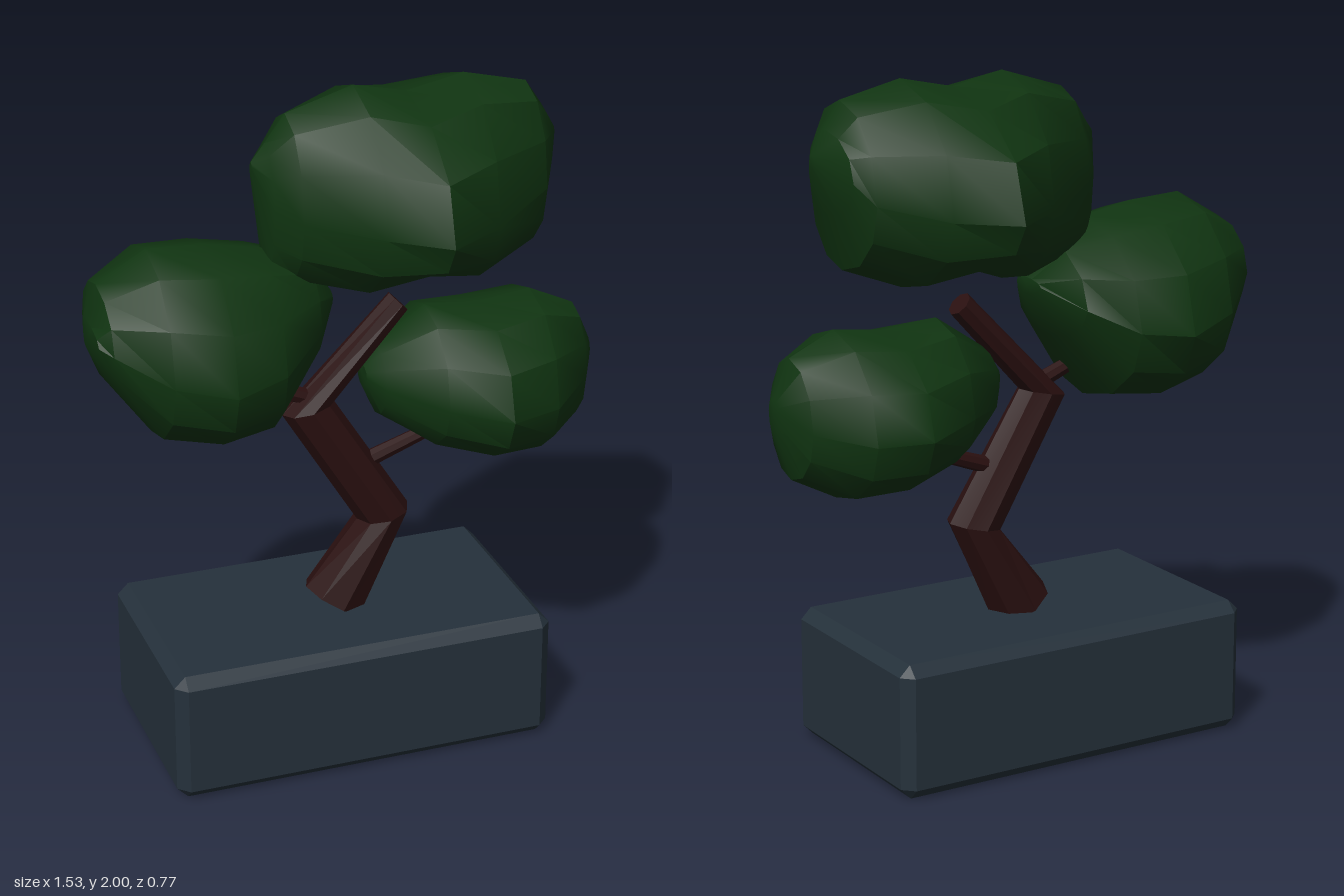
import * as THREE from 'three';
import { toCreasedNormals } from 'three/addons/utils/BufferGeometryUtils.js';
import { ConvexGeometry } from 'three/addons/geometries/ConvexGeometry.js';

// Skin a list of rings (equal point counts) and close both ends.
function loft(rings, crease) {
  const n = rings[0].length, points = rings.flat(), index = [];
  const last = rings.length - 1;
  for (let i = 0; i < last; i++) {
    for (let j = 0; j < n; j++) {
      const k = (j + 1) % n;
      const a = i * n + j, b = i * n + k, c = b + n, d = a + n;
      index.push(a, d, b, b, d, c);
    }
  }
  for (const i of [0, last]) {
    const centre = new THREE.Vector3();
    rings[i].forEach((p) => centre.addScaledVector(p, 1 / n));
    const m = points.push(centre) - 1;
    for (let j = 0; j < n; j++) {
      const a = i * n + j, b = i * n + (j + 1) % n;
      if (i === 0) index.push(m, a, b);
      else index.push(m, b, a);
    }
  }
  const geometry = new THREE.BufferGeometry().setFromPoints(points);
  geometry.setIndex(index);
  return toCreasedNormals(geometry, crease);
}

// Foliage cushion from sections along x: [x, bottom, top, widest height, front depth, back depth]
function cushion(sections, sides = 12) {
  const rings = sections.map(([x, bottom, top, mid, front, back]) =>
    Array.from({ length: sides }, (_, j) => {
      const a = (j / sides) * Math.PI * 2, s = Math.sin(a), c = Math.cos(a);
      return new THREE.Vector3(
        x,
        mid + s * (s > 0 ? top - mid : mid - bottom),
        c * (c > 0 ? front : back)
      );
    }));
  return loft(rings, 0.6);
}

// Trunk from mitred rings: [x, y, half-width x, half-width y, depth radius]
function mitredTrunk(joints, sides = 8) {
  const rings = joints.map(([x, y, hx, hy, rz]) =>
    Array.from({ length: sides }, (_, j) => {
      const a = (j / sides) * Math.PI * 2, s = Math.sin(a);
      return new THREE.Vector3(x + hx * s, y + hy * s, 0.012 + rz * Math.cos(a));
    }));
  return loft(rings, 0.1);
}

// Box with every edge chamfered
function chamferedBox(w, h, d, c) {
  const points = [];
  for (const sx of [-1, 1]) for (const sy of [-1, 1]) for (const sz of [-1, 1]) {
    for (let flush = 0; flush < 3; flush++) {
      const half = [w, h, d].map((size, axis) => size / 2 - (axis === flush ? 0 : c));
      points.push(new THREE.Vector3(sx * half[0], sy * half[1], sz * half[2]));
    }
  }
  return new ConvexGeometry(points);
}

export function createModel() {
  const tree = new THREE.Group();
  tree.name = 'pottedTree';

  const material = (name, color) => {
    const m = new THREE.MeshStandardMaterial({ color });
    m.name = name;
    return m;
  };
  const slate = material('slate', 0x25313b);
  const bark = material('bark', 0x2a1010);
  const leaf = material('leafGreen', 0x103411);

  const add = (name, geometry, mat) => {
    const mesh = new THREE.Mesh(geometry, mat);
    mesh.name = name;
    tree.add(mesh);
    return mesh;
  };

  // Planter
  add('planter', chamferedBox(1.16, 0.4, 0.66, 0.033), slate).position.set(-0.05, 0.2, 0.01);

  // Zigzag trunk
  add('trunk', mitredTrunk([
    [-0.045, 0.405, -0.085, 0.05, 0.096],
    [0.11, 0.67, -0.08, -0.015, 0.08],
    [-0.123, 1.045, -0.077, -0.015, 0.06],
    [0.155, 1.337, -0.027, 0.028, 0.038],
  ]), bark);

  // Side branches reaching into the foliage
  const branch = (name, from, to) => {
    const a = new THREE.Vector3(...from), b = new THREE.Vector3(...to);
    const dir = b.clone().sub(a);
    const geometry = new THREE.CylinderGeometry(0.019, 0.027, dir.length(), 8);
    const mesh = add(name, toCreasedNormals(geometry, 0.1), bark);
    mesh.position.copy(a).add(b).multiplyScalar(0.5);
    mesh.quaternion.setFromUnitVectors(new THREE.Vector3(0, 1, 0), dir.normalize());
  };
  branch('rightBranch', [-0.08, 1.06, 0.012], [-0.36, 1.17, 0.012]);
  branch('leftBranch', [0.02, 0.83, 0.012], [0.32, 0.935, 0.012]);

  // Foliage cushions
  add('topFoliage', cushion([
    [-0.28, 1.76, 1.81, 1.79, 0.01, 0.01],
    [-0.24, 1.47, 1.86, 1.69, 0.09, 0.08],
    [-0.18, 1.445, 1.94, 1.67, 0.165, 0.15],
    [0.02, 1.4, 2.0, 1.64, 0.285, 0.285],
    [0.18, 1.455, 1.965, 1.63, 0.385, 0.39],
    [0.35, 1.41, 2.0, 1.64, 0.295, 0.295],
    [0.54, 1.48, 1.955, 1.69, 0.175, 0.21],
    [0.59, 1.64, 1.88, 1.75, 0.09, 0.17],
    [0.63, 1.77, 1.81, 1.79, 0.01, 0.02],
  ]), leaf);
  add('rightFoliage', cushion([
    [-0.77, 1.33, 1.42, 1.38, 0.15, 0.02],
    [-0.735, 1.24, 1.51, 1.36, 0.18, 0.16],
    [-0.59, 1.04, 1.595, 1.28, 0.27, 0.29],
    [-0.42, 1.005, 1.585, 1.24, 0.305, 0.345],
    [-0.26, 1.02, 1.555, 1.26, 0.25, 0.31],
    [-0.12, 1.22, 1.505, 1.33, 0.14, 0.24],
    [-0.05, 1.35, 1.4, 1.38, 0.03, 0.1],
  ]), leaf);
  add('leftFoliage', cushion([
    [0.05, 1.08, 1.15, 1.12, 0.04, 0.04],
    [0.09, 0.99, 1.21, 1.1, 0.1, 0.1],
    [0.24, 0.885, 1.31, 1.06, 0.22, 0.22],
    [0.41, 0.835, 1.295, 1.03, 0.295, 0.287],
    [0.57, 0.828, 1.315, 1.03, 0.245, 0.255],
    [0.71, 0.9, 1.25, 1.06, 0.12, 0.14],
    [0.76, 1.04, 1.14, 1.1, 0.03, 0.03],
  ]), leaf);

  return tree;
}
